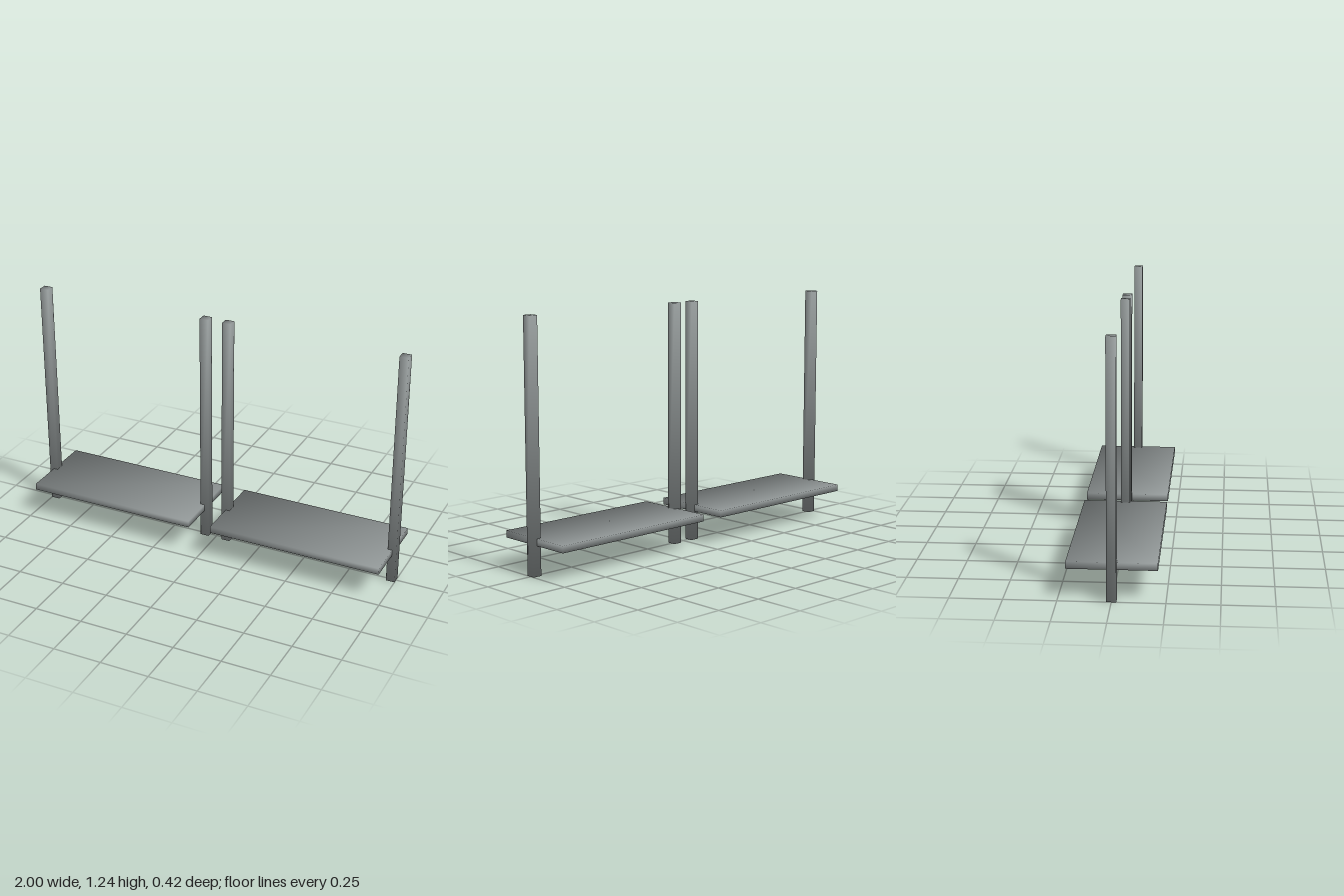
import * as THREE from 'three';
import { mergeVertices } from 'three/addons/utils/BufferGeometryUtils.js';

const material = new THREE.MeshStandardMaterial({ color: 0x939999 });

// Box with shared corners, so the shading runs softly round its edges
function softBox(name, w, h, d, x, y) {
  const box = new THREE.BoxGeometry(w, h, d);
  box.deleteAttribute('uv');
  box.deleteAttribute('normal');
  const geometry = mergeVertices(box);
  const p = geometry.attributes.position;
  const normals = new Float32Array(p.count * 3);
  // Each corner normal points evenly between its three faces
  for (let i = 0; i < p.array.length; i++) normals[i] = Math.sign(p.array[i]) / Math.sqrt(3);
  geometry.setAttribute('normal', new THREE.BufferAttribute(normals, 3));
  const mesh = new THREE.Mesh(geometry, material);
  mesh.name = name;
  mesh.position.set(x, y, 0);
  return mesh;
}

const POST = 0.046, HEIGHT = 1.236, SPAN = 0.916;

// One shelf held between two upright posts
function shelfUnit(name, x) {
  const unit = new THREE.Group();
  unit.name = name;
  unit.position.x = x;
  unit.add(softBox('shelf', SPAN, 0.035, 0.424, 0, 0.166));
  for (const side of [-1, 1]) {
    unit.add(softBox(side < 0 ? 'rightPost' : 'leftPost', POST, HEIGHT, POST, side * SPAN / 2, HEIGHT / 2));
  }
  return unit;
}

export function createModel() {
  const model = new THREE.Group();
  model.name = 'shelfPair';
  model.add(shelfUnit('rightShelfUnit', -0.519), shelfUnit('leftShelfUnit', 0.519));
  return model;
}
